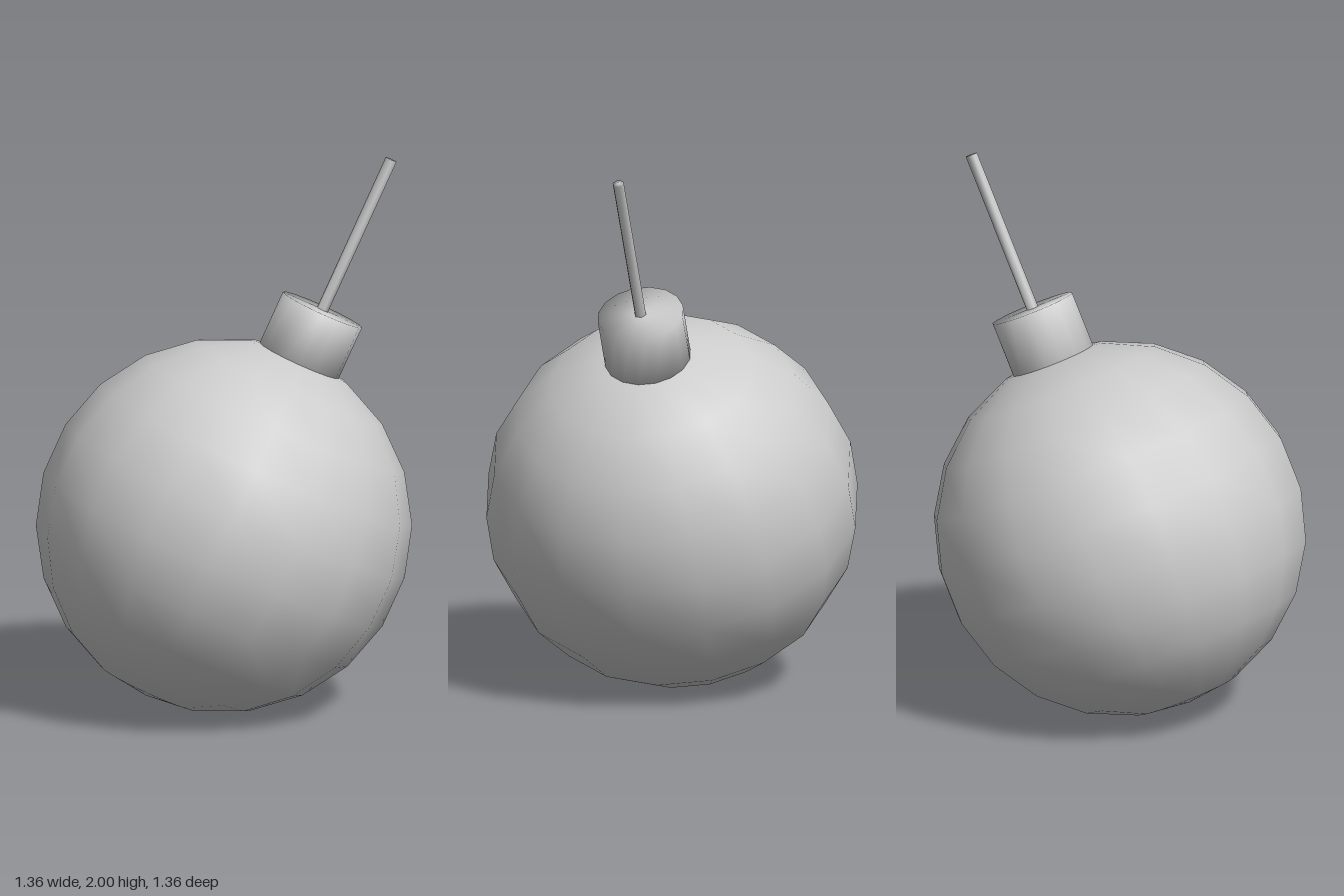
import * as THREE from 'three';
import { mergeVertices } from 'three/addons/utils/BufferGeometryUtils.js';

const RADIUS = 0.68;
const material = new THREE.MeshStandardMaterial({ color: 0xcccccc });

// Closed cylinder from y0 to y1 with normals blended over its rims
function softCylinder(name, radius, y0, y1, sides) {
  const raw = new THREE.CylinderGeometry(radius, radius, y1 - y0, sides);
  raw.deleteAttribute('uv');
  raw.deleteAttribute('normal');
  raw.translate(0, (y0 + y1) / 2, 0);
  const geometry = mergeVertices(raw);
  geometry.computeVertexNormals();
  const mesh = new THREE.Mesh(geometry, material);
  mesh.name = name;
  return mesh;
}

export function createModel() {
  const model = new THREE.Group();
  model.name = 'roundBomb';

  // Everything is turned about one tilted axis through the ball's centre
  const tilted = new THREE.Group();
  tilted.name = 'tiltedBody';
  tilted.position.y = RADIUS;
  const axis = new THREE.Vector3(0.209, 1, -0.433).normalize();
  tilted.quaternion.setFromUnitVectors(new THREE.Vector3(0, 1, 0), axis);
  model.add(tilted);

  // Round shell
  const shell = new THREE.Mesh(new THREE.SphereGeometry(RADIUS, 16, 11), material);
  shell.name = 'shell';

  // Collar on the shell and the thin fuse rising from it
  const collar = softCylinder('collar', 0.157, 0.65, 0.86, 16);
  const fuse = softCylinder('fuse', 0.022, 0.83, 1.46, 6);

  tilted.add(shell, collar, fuse);
  return model;
}
